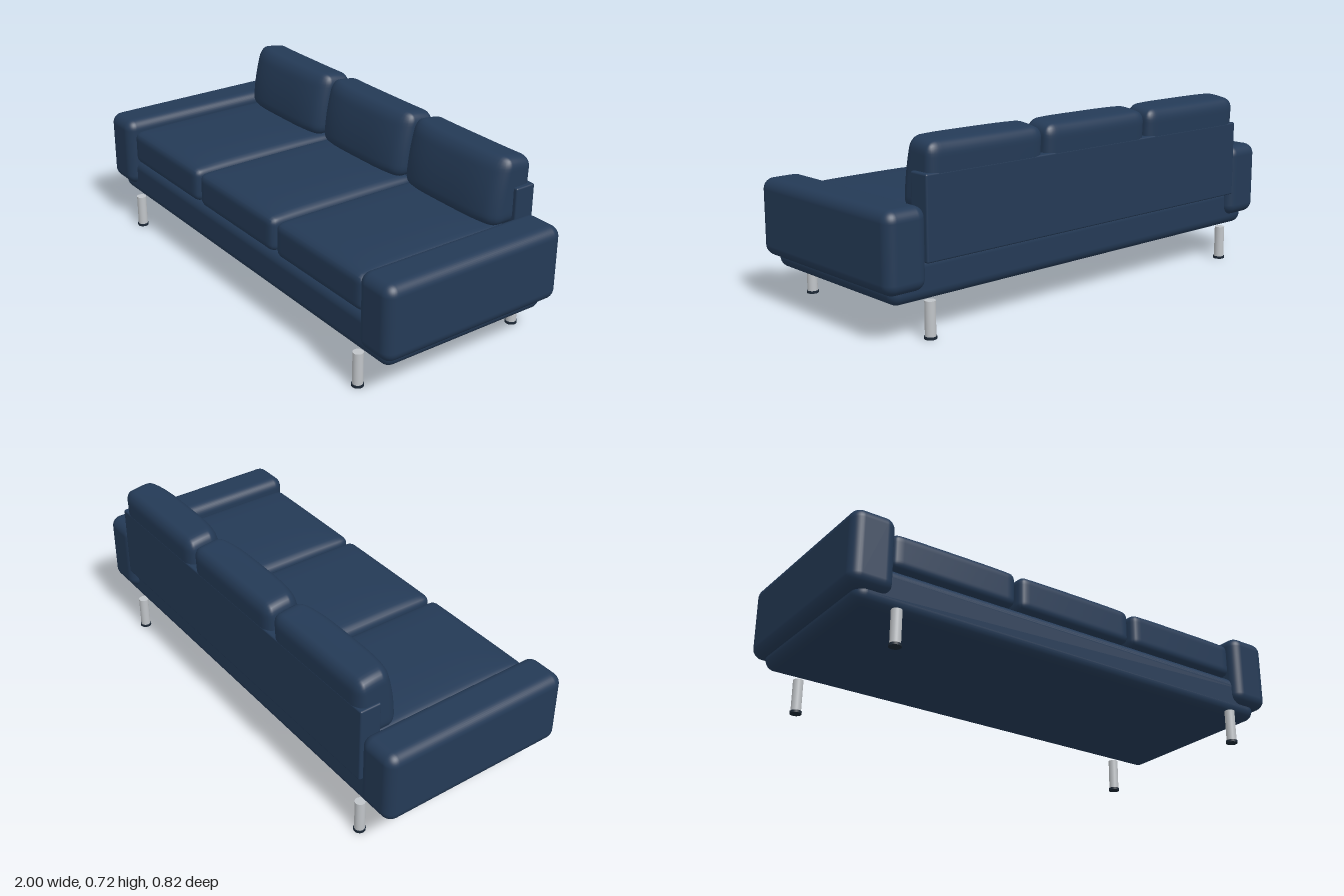
import * as THREE from 'three';
import { mergeVertices } from 'three/addons/utils/BufferGeometryUtils.js';
import { RoundedBoxGeometry } from 'three/addons/geometries/RoundedBoxGeometry.js';

const fabric = new THREE.MeshStandardMaterial({ name: 'navy fabric', color: 0x243a56 });
const steel = new THREE.MeshStandardMaterial({ name: 'brushed steel', color: 0xc0c4c8 });
const rubber = new THREE.MeshStandardMaterial({ name: 'dark foot pad', color: 0x1c2836 });

// Rounded block given by its limits [min, max] on each axis
function block(name, [x0, x1], [y0, y1], [z0, z1], radius) {
  const geo = new RoundedBoxGeometry(x1 - x0, y1 - y0, z1 - z0, 5, radius);
  const mesh = new THREE.Mesh(geo, fabric);
  mesh.name = name;
  mesh.position.set((x0 + x1) / 2, (y0 + y1) / 2, (z0 + z1) / 2);
  return mesh;
}

// Finely divided rounded box whose points are then moved by warp(p, u, v, w),
// with u, v, w running from -1 to 1 along x, y and z
function cushion(name, w, h, d, r, warp) {
  let geo = new THREE.BoxGeometry(w, h, d, 36, 20, 36);
  geo.deleteAttribute('uv');
  geo.deleteAttribute('normal');
  geo = mergeVertices(geo, 1e-5);
  const half = new THREE.Vector3(w / 2, h / 2, d / 2);
  const innerMax = half.clone().subScalar(r);
  const innerMin = innerMax.clone().negate();
  const pos = geo.attributes.position;
  const p = new THREE.Vector3(), inner = new THREE.Vector3();
  for (let i = 0; i < pos.count; i++) {
    p.fromBufferAttribute(pos, i);
    inner.copy(p).clamp(innerMin, innerMax);
    p.sub(inner);
    if (p.lengthSq() > 0) p.setLength(r);
    p.add(inner);
    warp(p, p.x / half.x, p.y / half.y, p.z / half.z);
    pos.setXYZ(i, p.x, p.y, p.z);
  }
  geo.computeVertexNormals();
  const mesh = new THREE.Mesh(geo, fabric);
  mesh.name = name;
  return mesh;
}

// Flat-topped swelling that falls to zero at the edges
const swell = (a, b) => (1 - a ** 4) * (1 - b ** 4);

// Seat: slightly domed top
function warpSeat(p, u, v, w) {
  if (v > 0) p.y += 0.018 * v * swell(u, w);
}

// Back rest: front leans back towards the top and bulges, top slopes to the rear
function warpBack(p, u, v, w) {
  const t = (v + 1) / 2, front = (w + 1) / 2;
  p.z -= front * (0.05 * t * t + 0.035 * u ** 4);
  p.y -= 0.018 * t * (1 - front) * (1 - front);
  if (w < 0) p.z += 0.006 * (1 - t);
}

export function createModel() {
  const sofa = new THREE.Group();
  sofa.name = 'sofa';

  // Frame
  sofa.add(block('base', [-0.958, 0.958], [0.138, 0.305], [-0.375, 0.38], 0.042));
  sofa.add(block('backPanel', [-0.835, 0.835], [0.285, 0.6], [-0.41, -0.32], 0.007));
  sofa.add(block('leftArm', [0.823, 1], [0.186, 0.49], [-0.407, 0.412], 0.044));
  sofa.add(block('rightArm', [-1, -0.823], [0.186, 0.49], [-0.407, 0.412], 0.044));

  // Three seat cushions with their back cushions
  for (let i = -1; i <= 1; i++) {
    const x = -0.004 + i * 0.554;
    const seat = cushion('seatCushion', 0.536, 0.145, 0.705, 0.03, warpSeat);
    seat.position.set(x, 0.3745, 0.0335);
    sofa.add(seat);
    const back = cushion('backCushion', 0.536, 0.272, 0.206, 0.045, warpBack);
    back.position.set(x, 0.583, -0.309);
    sofa.add(back);
  }

  // Legs with foot pads
  const legGeo = new THREE.CylinderGeometry(0.0205, 0.0205, 0.132, 24);
  const padGeo = new THREE.CylinderGeometry(0.0235, 0.0235, 0.01, 24);
  for (const x of [-0.8, 0.8]) {
    for (const z of [0.381, -0.375]) {
      const leg = new THREE.Group();
      leg.name = (z > 0 ? 'front' : 'back') + (x > 0 ? 'Left' : 'Right') + 'Leg';
      const post = new THREE.Mesh(legGeo, steel);
      post.name = 'legPost';
      post.position.y = 0.075;
      const pad = new THREE.Mesh(padGeo, rubber);
      pad.name = 'footPad';
      pad.position.y = 0.005;
      leg.add(post, pad);
      leg.position.set(x, 0, z);
      sofa.add(leg);
    }
  }
  return sofa;
}
